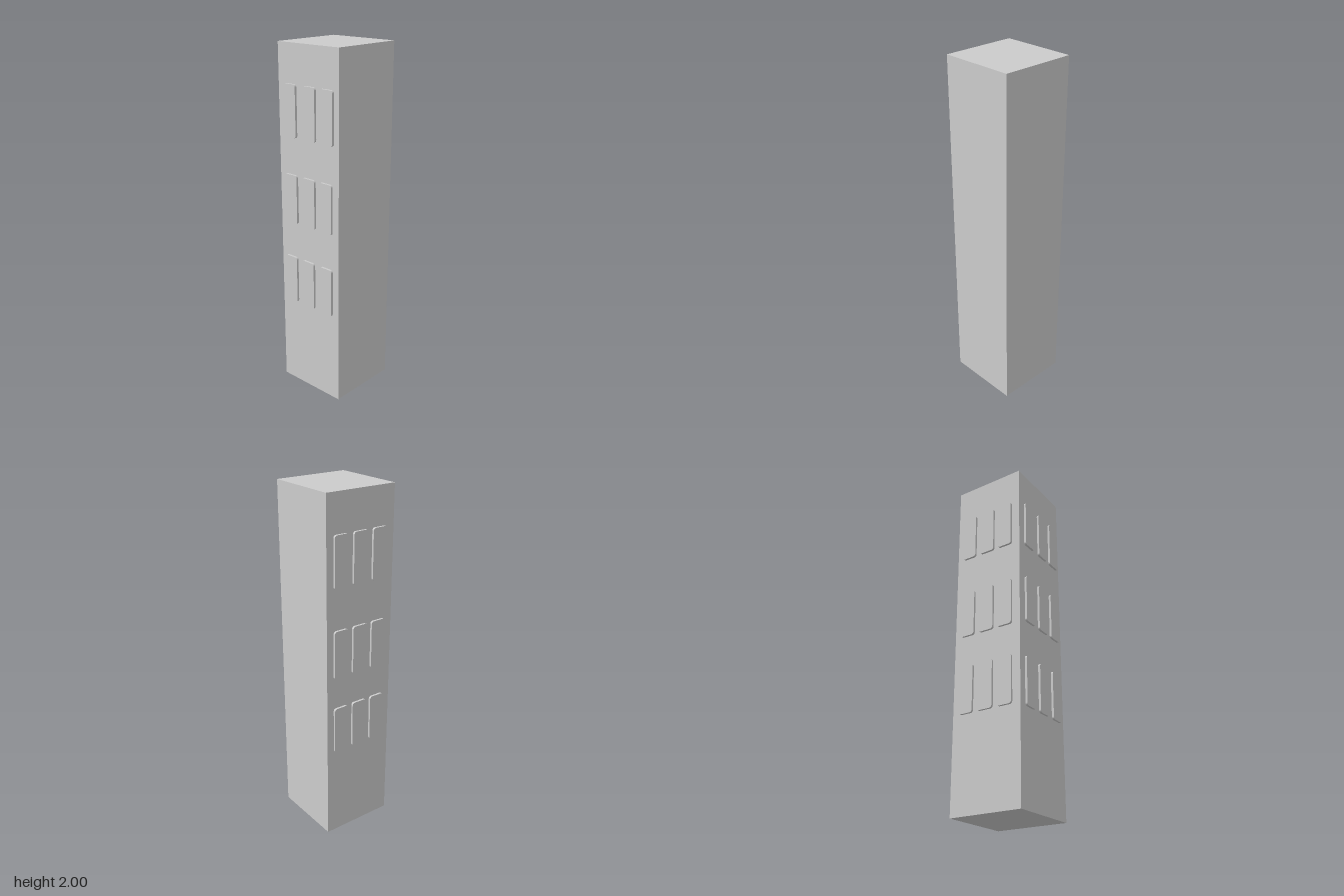
import * as THREE from 'three';

const material = new THREE.MeshStandardMaterial({ color: 0xcccccc });
const DEPTH = 0.013;

// Upright panel with rounded corners, spanning u0..u1 and v0..v1, facing +z
function windowGeometry(u0, u1, v0, v1, r = 0.015) {
  const s = new THREE.Shape();
  s.moveTo(u0 + r, v0);
  s.lineTo(u1 - r, v0);
  s.absarc(u1 - r, v0 + r, r, -Math.PI / 2, 0);
  s.lineTo(u1, v1 - r);
  s.absarc(u1 - r, v1 - r, r, 0, Math.PI / 2);
  s.lineTo(u0 + r, v1);
  s.absarc(u0 + r, v1 - r, r, Math.PI / 2, Math.PI);
  s.lineTo(u0, v0 + r);
  s.absarc(u0 + r, v0 + r, r, Math.PI, Math.PI * 1.5);
  return new THREE.ExtrudeGeometry(s, { depth: DEPTH, bevelEnabled: false, curveSegments: 5 });
}

// One facade: rows of windows, each row with its height span and column spans
function facade(name, rows) {
  const group = new THREE.Group();
  group.name = name;
  rows.forEach(({ y, columns }, i) => columns.forEach(([a, b], j) => {
    const mesh = new THREE.Mesh(windowGeometry(a, b, y[0], y[1]), material);
    mesh.name = `${name}Row${i + 1}Column${j + 1}`;
    group.add(mesh);
  }));
  return group;
}

export function createModel() {
  const model = new THREE.Group();
  model.name = 'towerBlock';

  // Plain square tower
  const tower = new THREE.Mesh(new THREE.BoxGeometry(0.432, 2, 0.432), material);
  tower.name = 'tower';
  tower.position.set(0.006, 1, -0.01);
  model.add(tower);

  // Front windows, slightly uneven from row to row
  const front = facade('frontWindows', [
    { y: [0.53, 0.81], columns: [[-0.17, -0.082], [-0.038, 0.05], [0.095, 0.183]] },
    { y: [1.016, 1.296], columns: [[-0.165, -0.073], [-0.033, 0.06], [0.095, 0.183]] },
    { y: [1.503, 1.79], columns: [[-0.165, -0.073], [-0.022, 0.067], [0.101, 0.192]] },
  ]);
  front.position.z = 0.21;
  model.add(front);

  // Side windows on the -x face (panel u runs along +z)
  const sideColumns = [[-0.183, -0.094], [-0.061, 0.034], [0.064, 0.156]];
  const side = facade('sideWindows', [
    { y: [0.54, 0.818], columns: sideColumns },
    { y: [0.998, 1.276], columns: sideColumns },
    { y: [1.505, 1.788], columns: sideColumns },
  ]);
  side.rotation.y = -Math.PI / 2;
  side.position.x = -0.21;
  model.add(side);

  return model;
}
